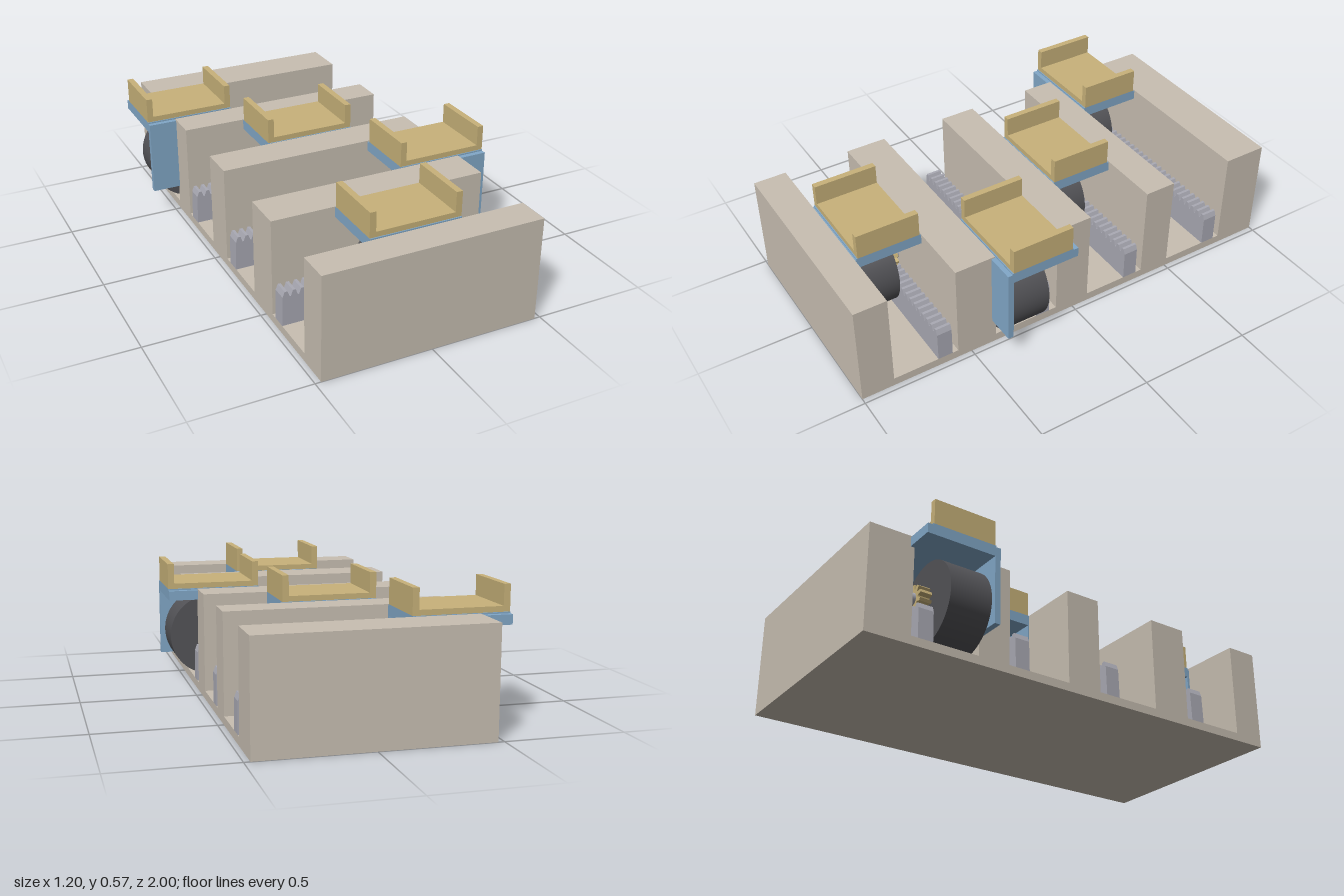
import * as THREE from 'three';

const mat = (name, color) => Object.assign(new THREE.MeshStandardMaterial({ color }), { name });

export function createModel() {
  const stone = mat('base stone', 0xc8bfb2);
  const brass = mat('brass', 0xc8b27a);
  const blue = mat('carriage blue', 0x82a8c8);
  const steel = mat('steel', 0xaaaab4);
  const dark = mat('motor dark', 0x535357);

  const model = new THREE.Group();
  model.name = 'slidingTrayTable';

  const add = (parent, name, geometry, material, x = 0, y = 0, z = 0) => {
    const mesh = new THREE.Mesh(geometry, material);
    mesh.name = name;
    mesh.position.set(x, y, z);
    parent.add(mesh);
    return mesh;
  };
  // Box given by its minimum and maximum corners
  const box = (parent, name, material, x0, x1, y0, y1, z0, z1) =>
    add(parent, name, new THREE.BoxGeometry(x1 - x0, y1 - y0, z1 - z0), material,
      (x0 + x1) / 2, (y0 + y1) / 2, (z0 + z1) / 2);
  // Closed outline extruded along z and centred on it
  const extrude = (points, depth) => {
    const shape = new THREE.Shape(points.map(([x, y]) => new THREE.Vector2(x, y)));
    return new THREE.ExtrudeGeometry(shape, { depth, bevelEnabled: false }).translate(0, 0, -depth / 2);
  };

  const half = 0.475, top = 0.456, floor = 0.036;
  const slots = [[-0.805, -0.507], [-0.365, -0.075], [0.085, 0.383], [0.563, 0.857]];

  // Base: side profile with four cross slots, extruded across the width
  const profile = [[-1, 0], [1, 0], [1, top]];
  for (const [a, b] of [...slots].reverse()) profile.push([b, top], [b, floor], [a, floor], [a, top]);
  profile.push([-1, top]);
  add(model, 'slottedBase', extrude(profile, half * 2).rotateY(-Math.PI / 2), stone);

  // Rack: bar with trapezoid teeth along its top
  const teeth = 27, pitch = (half * 2) / teeth;
  const rackOutline = [[-half, floor], [half, floor]];
  for (let i = teeth - 1; i >= 0; i--) {
    const x = -half + i * pitch;
    rackOutline.push([x + pitch * 0.95, 0.165], [x + pitch * 0.7, 0.189],
      [x + pitch * 0.35, 0.189], [x + pitch * 0.1, 0.165]);
  }
  const rackGeometry = extrude(rackOutline, 0.066);

  // Pinion: toothed wheel
  const gearOutline = [];
  const gearTeeth = 10;
  for (let i = 0; i < gearTeeth; i++) {
    for (const [f, r] of [[0, 0.038], [0.25, 0.038], [0.45, 0.058], [0.8, 0.058]]) {
      const a = ((i + f) / gearTeeth) * Math.PI * 2;
      gearOutline.push([r * Math.cos(a), r * Math.sin(a)]);
    }
  }
  const gearGeometry = extrude(gearOutline, 0.052);

  const motorGeometry = new THREE.CylinderGeometry(0.18, 0.18, 0.183, 64).rotateX(Math.PI / 2);
  const shaftGeometry = new THREE.CylinderGeometry(0.026, 0.026, 0.08, 24).rotateX(Math.PI / 2);

  // One carriage per slot, each at its own place along the rack
  const stations = [[-0.4, -0.6575], [0, -0.2175], [0.4, 0.2375], [0, 0.7075]];
  for (const [x, z] of stations) {
    add(model, 'rack', rackGeometry, steel, 0, 0, z - 0.085);

    const carriage = new THREE.Group();
    carriage.name = 'carriage';
    carriage.position.set(x, 0, z);
    model.add(carriage);

    // Blue bracket
    box(carriage, 'slidePlate', blue, -0.2, 0.2, 0.41, 0.451, -0.165, 0.163);
    box(carriage, 'slideNeck', blue, -0.2, 0.2, 0.451, 0.457, -0.142, 0.142);
    box(carriage, 'motorPlate', blue, -0.2, 0.2, 0.12, 0.41, 0.138, 0.163);

    // Drive
    add(carriage, 'motor', motorGeometry, dark, 0, 0.23, 0.0465);
    add(carriage, 'shaft', shaftGeometry, steel, 0, 0.232, -0.081);
    add(carriage, 'pinion', gearGeometry, brass, 0, 0.235, -0.079);

    // Open-ended tray
    box(carriage, 'trayFloor', brass, -0.2, 0.2, 0.457, 0.48, -0.1375, 0.1375);
    for (const s of [-1, 1]) {
      add(carriage, 'traySide', new THREE.BoxGeometry(0.027, 0.087, 0.275), brass, s * 0.1865, 0.5225, 0);
    }
  }
  return model;
}
